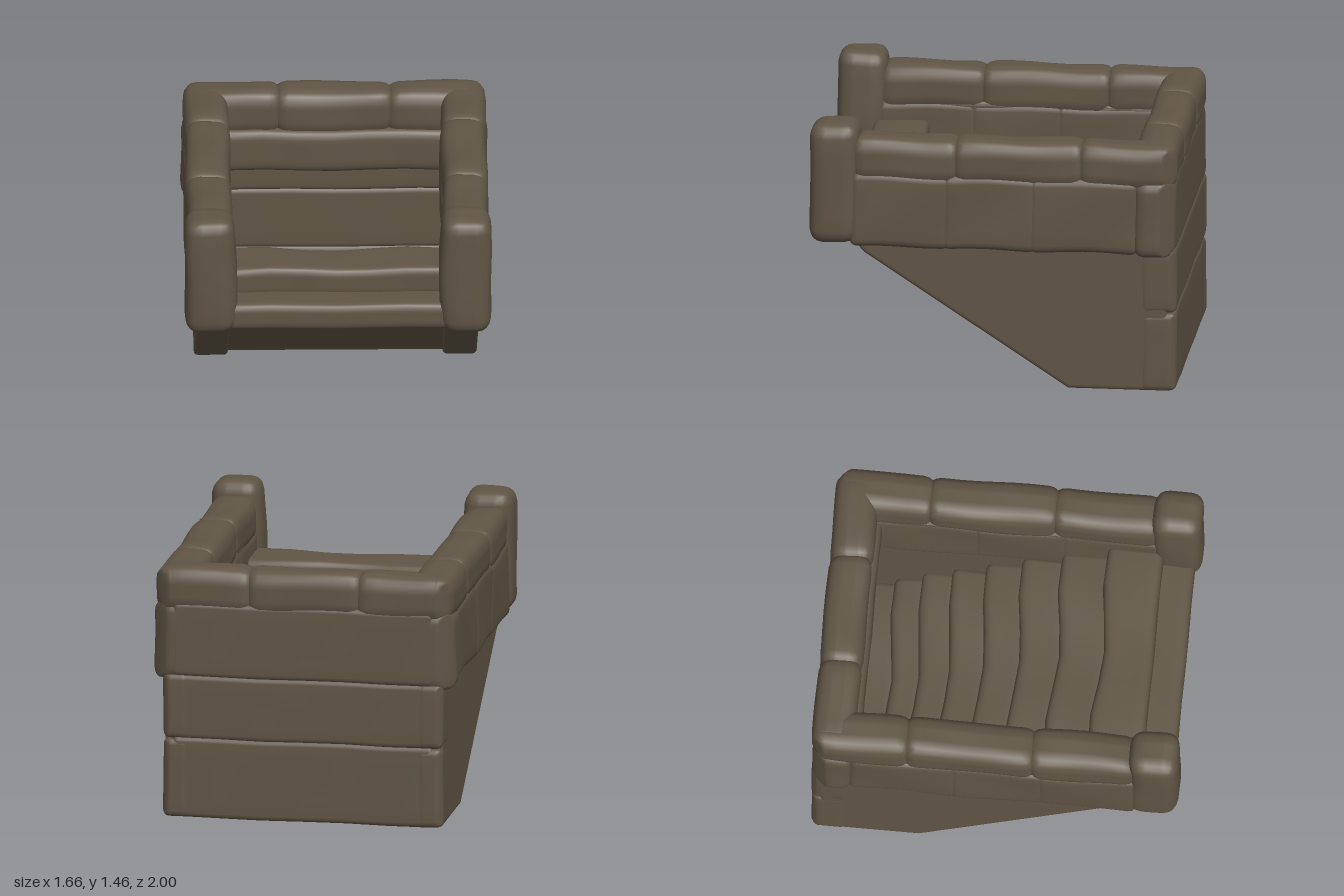
import * as THREE from 'three';
import { mergeVertices } from 'three/addons/utils/BufferGeometryUtils.js';

const stoneMat = new THREE.MeshStandardMaterial({ color: 0x605545 });
stoneMat.name = 'brown stone';

// Rounded, slightly uneven block between two corners; bend(v) may reshape it further
function stone(name, [x0, x1], [y0, y1], [z0, z1], r = 0.04, bend = null, wobble = 0.005) {
  const n = 10;
  const half = new THREE.Vector3(x1 - x0, y1 - y0, z1 - z0).multiplyScalar(0.5);
  const mid = new THREE.Vector3(x0 + x1, y0 + y1, z0 + z1).multiplyScalar(0.5);
  r = Math.min(r, half.x, half.y, half.z);
  let geo = new THREE.BoxGeometry(2, 2, 2, n, n, n);
  geo.deleteAttribute('uv');
  geo.deleteAttribute('normal');
  geo = mergeVertices(geo, 1e-4);
  const pos = geo.attributes.position;
  const p = new THREE.Vector3(), inner = new THREE.Vector3();
  // gather the outer rows of vertices into the rounded edges
  const place = (t, h) => {
    const a = Math.abs(t);
    const d = a > 0.59 ? h - r * (1 - a) / 0.4 : (h - r) * a / 0.6;
    return Math.sign(t) * d;
  };
  for (let i = 0; i < pos.count; i++) {
    p.set(place(pos.getX(i), half.x), place(pos.getY(i), half.y), place(pos.getZ(i), half.z));
    inner.set(
      THREE.MathUtils.clamp(p.x, r - half.x, half.x - r),
      THREE.MathUtils.clamp(p.y, r - half.y, half.y - r),
      THREE.MathUtils.clamp(p.z, r - half.z, half.z - r));
    p.sub(inner).setLength(r).add(inner).add(mid);
    const { x, y, z } = p;
    p.x += wobble * Math.sin(9 * y + 7 * z + 2 * x);
    p.y += wobble * Math.sin(8 * x + 11 * z + 1);
    p.z += wobble * 0.6 * Math.sin(10 * x + 8 * y);
    if (bend) bend(p);
    pos.setXYZ(i, p.x, p.y, p.z);
  }
  geo.computeVertexNormals();
  const mesh = new THREE.Mesh(geo, stoneMat);
  mesh.name = name;
  return mesh;
}

// Solid with a [z, y] outline, running from x0 to x1
function slab(name, outline, x0, x1, bevel) {
  const shape = new THREE.Shape(outline.map(([z, y]) => new THREE.Vector2(-z, y)));
  const geo = new THREE.ExtrudeGeometry(shape, {
    depth: x1 - x0 - 2 * bevel, bevelEnabled: bevel > 0, bevelThickness: bevel,
    bevelSize: bevel, bevelOffset: -bevel, bevelSegments: 3,
  });
  geo.rotateY(Math.PI / 2).translate(x0 + bevel, 0, 0);
  const mesh = new THREE.Mesh(geo, stoneMat);
  mesh.name = name;
  return mesh;
}

// Cuts the rear corners at an angle
function chamfer(p) {
  const over = Math.abs(p.x) - p.z - 1.735;
  if (p.z < -0.7 && over > 0) {
    p.x -= Math.sign(p.x) * over * 0.45;
    p.z += over * 0.45;
  }
}

export function createModel() {
  const model = new THREE.Group();
  model.name = 'stoneStairwell';
  const span = (s, a, b) => (s > 0 ? [a, b] : [-b, -a]);
  const lap = 0.025; // neighbouring blocks run into each other, leaving shallow joints

  // Both sides: wedge wall, two courses of blocks, corner stones and front pillar
  for (const s of [1, -1]) {
    const side = new THREE.Group();
    side.name = s > 0 ? 'leftSide' : 'rightSide';
    const [w0, w1] = span(s, 0.58, 0.765);
    side.add(slab('wedgeWall',
      [[0.76, 0.8], [0.7, 0.733], [-0.41, 0.003], [-0.95, 0.003], [-0.95, 1.2], [0.76, 1.2]], w0, w1, 0.022));

    const joints = [0.75, 0.25, -0.22, -0.77, -0.98];
    for (let i = 0; i < 4; i++) {
      const corner = i === 3;
      side.add(stone('courseBlock', span(s, 0.57, corner ? 0.83 : 0.817),
        [corner ? 0.765 : 0.775, 1.195], [joints[i + 1] - (corner ? 0.015 : lap), joints[i] + (corner ? 0 : lap)],
        corner ? 0.06 : 0.045, chamfer));
    }
    const capJoints = [0.75, 0.2, -0.48, -0.985];
    for (let i = 0; i < 3; i++) {
      side.add(stone('copingBlock', span(s, 0.572, 0.815), [1.13, 1.385],
        [capJoints[i + 1] - (i === 2 ? 0.012 : lap), capJoints[i] + lap], 0.075, chamfer));
    }
    const levels = [0.003, 0.44, 0.8];
    for (let i = 0; i < 2; i++) {
      side.add(stone('cornerStone', span(s, 0.62, 0.769), [levels[i], levels[i + 1]],
        [-0.998, -0.8], 0.035, chamfer, 0.002));
    }
    // Pillar swells a little around the middle
    side.add(stone('frontPillar', span(s, 0.56, 0.82), [0.79, 1.46], [0.727, 0.995], 0.075, p => {
      const k = 1 + 0.08 * Math.cos((p.y - 1.08) * 4.2);
      p.x = s * 0.69 + (p.x - s * 0.69) * k;
    }));
    model.add(side);
  }

  // Back wall courses
  const backLevels = [0.003, 0.44, 0.785, 1.2];
  for (let i = 0; i < 3; i++) {
    model.add(stone('backCourse', [-0.72, 0.72], [backLevels[i], backLevels[i + 1] + (i < 2 ? 0.012 : 0)],
      [-0.996, -0.82], 0.03, chamfer, 0.003));
  }
  // Course standing out from the back wall on the inside
  model.add(stone('innerLedge', [-0.62, 0.62], [0.93, 1.175], [-0.93, -0.74], 0.05));

  // Back coping
  const backJoints = [-0.76, -0.3, 0.3, 0.76];
  for (let i = 0; i < 3; i++) {
    model.add(stone('backCoping', [backJoints[i] - lap, backJoints[i + 1] + lap], [1.13, 1.387],
      [-0.998, -0.765], 0.075, chamfer));
  }

  // Sloping floor under the steps, set in from the side walls
  model.add(slab('slopingFloor',
    [[0.74, 0.84], [0.66, 0.81], [0.02, 0.37], [-0.44, 0.035], [-0.465, 0.004], [-0.96, 0.004],
      [-0.96, 0.18], [-0.65, 0.18], [0.5, 0.89], [0.74, 0.92]], -0.6, 0.6, 0));

  // Steps going down towards the back, each with a wavy nosing
  const nosings = [0.79, 0.5, 0.255, 0.04, -0.155, -0.34, -0.505, -0.655, -0.87];
  const treads = [1.09, 0.94, 0.8, 0.67, 0.54, 0.43, 0.32, 0.22];
  treads.forEach((top, i) => {
    const [z0, z1] = [nosings[i + 1], nosings[i]];
    const bottom = Math.max(0.06, 0.89 - 0.65 * (0.74 - z1));
    model.add(stone('step', [-0.6, 0.6], [bottom, top], [z0, z1 + (i ? 0.03 : 0)], 0.04, p => {
      if (i > 0 || p.z < 0.6) p.z += 0.02 * Math.cos(p.x * 7);
      if (p.y > top - 0.1) p.y -= 0.006 * Math.cos(p.x * 8);
    }, 0.004));
  });

  // Front sill between the pillars
  model.add(stone('frontSill', [-0.6, 0.6], [0.805, 0.957], [0.64, 0.962], 0.04, null, 0.003));
  return model;
}
